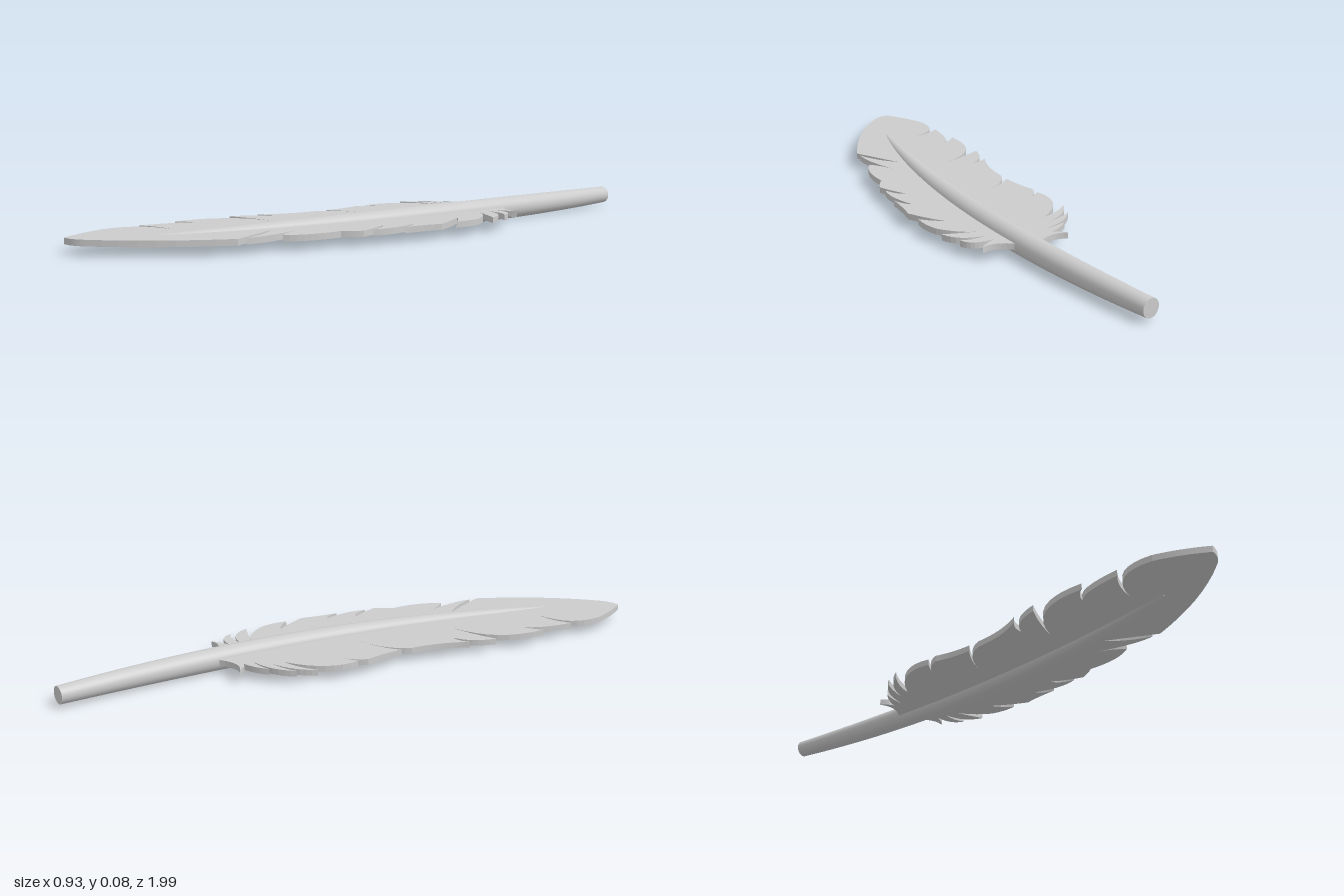
import * as THREE from 'three';

const MID_Y = 0.041;

// Outline of the vane in plan, as curves: [controlX, controlZ, endX, endZ]
const START = [-0.44, 0.99];
const RIGHT_EDGE = [
  [-0.40, 1.00, -0.36, 0.98], [-0.16, 0.88, 0.015, 0.68],
  [0.00, 0.58, -0.015, 0.485], [0.025, 0.56, 0.025, 0.65],  // slit
  [0.06, 0.58, 0.055, 0.44], [0.06, 0.50, 0.08, 0.54],      // slit
  [0.15, 0.49, 0.18, 0.37], [0.21, 0.35, 0.235, 0.32],
  [0.235, 0.26, 0.22, 0.20], [0.25, 0.22, 0.245, 0.28],     // slit
  [0.29, 0.22, 0.285, 0.11], [0.305, 0.13, 0.30, 0.18],     // slit
  [0.33, 0.10, 0.36, 0.05],
  [0.35, -0.03, 0.33, -0.09], [0.36, -0.06, 0.375, -0.015], // downy barbs
  [0.40, -0.06, 0.40, -0.12], [0.38, -0.20, 0.33, -0.24],
  [0.39, -0.20, 0.425, -0.17], [0.43, -0.25, 0.34, -0.285],
  [0.40, -0.28, 0.425, -0.25], [0.43, -0.31, 0.345, -0.325],
  [0.39, -0.33, 0.42, -0.345], [0.36, -0.34, 0.325, -0.41],
];
const LEFT_EDGE = [
  [0.29, -0.43, 0.26, -0.45], [0.18, -0.42, 0.14, -0.465],  // downy barbs
  [0.15, -0.43, 0.17, -0.42], [0.12, -0.42, 0.07, -0.395],
  [0.12, -0.40, 0.16, -0.385], [0.06, -0.40, -0.01, -0.345],
  [0.04, -0.36, 0.10, -0.355], [0.00, -0.35, -0.055, -0.29],
  [0.01, -0.32, 0.08, -0.315], [-0.09, -0.27, -0.10, -0.135],
  [-0.06, -0.15, -0.02, -0.155], [-0.08, -0.15, -0.115, -0.10],
  [-0.115, -0.03, -0.14, 0.045],
  [-0.07, 0.01, 0.03, 0.01], [-0.10, 0.01, -0.155, 0.085],  // slit
  [-0.19, 0.19, -0.27, 0.27],
  [-0.23, 0.25, -0.20, 0.265], [-0.27, 0.27, -0.32, 0.36],  // slit
  [-0.22, 0.34, -0.13, 0.345], [-0.34, 0.34, -0.39, 0.555], // slit
  [-0.36, 0.53, -0.32, 0.53], [-0.37, 0.55, -0.425, 0.685], // slit
  [-0.36, 0.66, -0.285, 0.675], [-0.44, 0.66, -0.465, 0.81],// slit
  [-0.465, 0.90, ...START],
];

// Flat plate cut to the barbed outline
function makeVane(material) {
  const shape = new THREE.Shape();
  shape.moveTo(...START);
  for (const c of [...RIGHT_EDGE, ...LEFT_EDGE]) shape.quadraticCurveTo(...c);
  const geo = new THREE.ExtrudeGeometry(shape, { depth: 0.021, bevelEnabled: false, curveSegments: 8 });
  geo.rotateX(Math.PI / 2).translate(0, MID_Y + 0.0105, 0);
  const vane = new THREE.Mesh(geo, material);
  vane.name = 'vane';
  return vane;
}

// Capped round shaft swept along a curve, swelling then tapering to the tip
function makeQuill(material) {
  const curve = new THREE.QuadraticBezierCurve3(
    new THREE.Vector3(0.43, MID_Y, -0.994),
    new THREE.Vector3(0.255, MID_Y, -0.02),
    new THREE.Vector3(-0.24, MID_Y, 0.775));
  const geo = new THREE.CylinderGeometry(1, 1, 1, 32, 40);
  const pos = geo.attributes.position;
  for (let i = 0; i < pos.count; i++) {
    const t = THREE.MathUtils.clamp(0.5 - pos.getY(i), 0, 1);
    const r = 0.031 + 0.0543 * t - 0.0733 * t * t;
    const p = curve.getPoint(t), d = curve.getTangent(t);
    const side = pos.getX(i) * r;
    pos.setXYZ(i, p.x + d.z * side, p.y + pos.getZ(i) * r, p.z - d.x * side);
  }
  geo.computeVertexNormals();
  const quill = new THREE.Mesh(geo, material);
  quill.name = 'quill';
  return quill;
}

export function createModel() {
  const group = new THREE.Group();
  group.name = 'feather';
  const material = new THREE.MeshStandardMaterial({ color: 0xcccccc });
  group.add(makeVane(material), makeQuill(material));
  return group;
}
